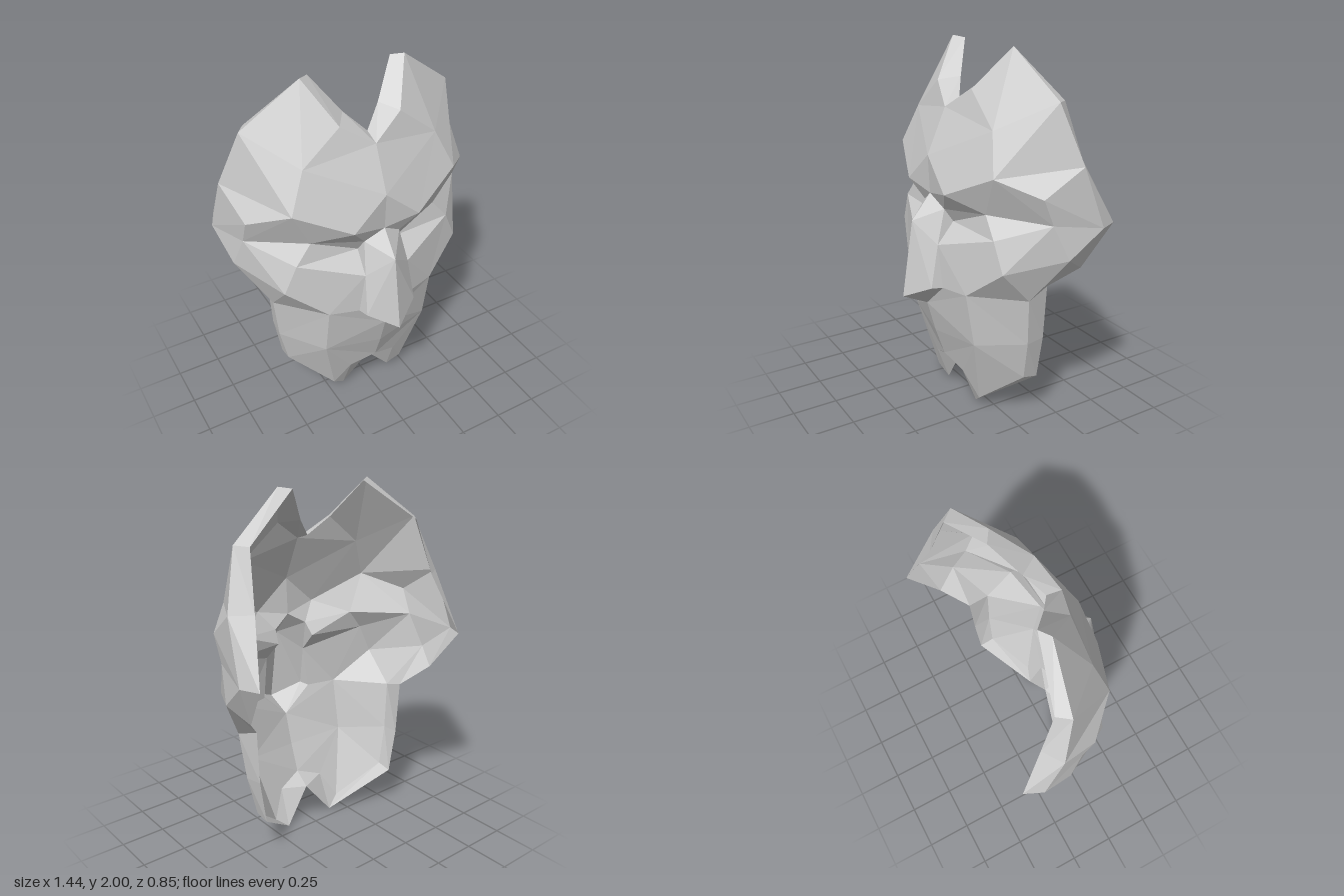
import * as THREE from 'three';

// Landmarks of the model's left half; the right half is mirrored
const forehead = {
  notch: [0, 1.68, 0.155], notchSide: [0.17, 1.79, 0.10], peak: [0.29, 2.0, -0.065],
  crown: [0.595, 1.77, -0.125], temple: [0.695, 1.47, -0.21], bump: [0.38, 1.62, 0.11],
  browMid: [0, 1.44, 0.26], browIn: [0.19, 1.275, 0.275], browOut: [0.475, 1.41, 0.165],
};
const eyes = {
  lidTop: [0.65, 1.325, -0.01], lidOut: [0.65, 1.185, -0.07], lidMid: [0.37, 1.2, 0.14],
  lidIn: [0.105, 1.17, 0.225], ear: [0.72, 1.15, -0.325],
};
const nose = {
  root: [0, 1.235, 0.25], bridge: [0, 1.1, 0.36], tip: [0, 0.68, 0.425], base: [0, 0.61, 0.28],
  side: [0.13, 0.99, 0.28], wing: [0.147, 0.76, 0.33], wingBack: [0.16, 0.755, 0.27],
};
const cheeks = {
  inner: [0.12, 1.1, 0.18], under: [0.46, 1.09, 0.15], bone: [0.53, 0.93, 0.14],
  hollow: [0.32, 0.76, 0.225], edge: [0.685, 1.0, -0.15], jawTop: [0.535, 0.755, -0.02],
};
const jaw = {
  lip: [0, 0.43, 0.23], front: [0.32, 0.46, 0.175], mid: [0.505, 0.49, -0.04],
  corner: [0.455, 0.265, -0.055], chin: [0.23, 0.065, 0.085], chinTip: [0.155, 0.005, 0.06],
  mouth: [0, 0.27, 0.175], mouthSide: [0.145, 0.215, 0.14], cleft: [0, 0.2, 0.09],
};
const P = { ...forehead, ...eyes, ...nose, ...cheeks, jawFront: jaw.front, ...jaw };

// Each row is a face (triangle or quad)
const parts = {
  forehead: [
    'notch bump notchSide', 'notchSide bump peak', 'peak bump crown', 'crown bump browOut',
    'crown browOut temple', 'temple browOut lidTop', 'notch browMid bump', 'browMid browIn bump',
    'browIn browOut bump',
  ],
  eyeSockets: [
    'browMid root browIn', 'browIn root lidIn', 'browIn lidIn lidMid', 'browIn lidMid browOut',
    'browOut lidMid lidOut', 'browOut lidOut lidTop', 'temple lidTop ear', 'lidTop lidOut ear',
    'lidOut edge ear',
  ],
  nose: [
    'root bridge lidIn', 'lidIn bridge side', 'lidIn side inner', 'bridge tip wing side',
    'side wing wingBack', 'tip base wing', 'wing base wingBack',
  ],
  cheeks: [
    'lidIn inner lidMid', 'inner under lidMid', 'lidMid under lidOut', 'lidOut under bone',
    'inner side under', 'side hollow under', 'side wingBack hollow', 'under hollow bone',
    'bone hollow jawTop', 'bone jawTop edge', 'lidOut bone edge',
  ],
  jaw: [
    'wingBack base hollow', 'base lip jawFront hollow', 'lip mouth jawFront',
    'mouth mouthSide jawFront', 'jawFront mouthSide chin', 'mouthSide chinTip chin',
    'mouthSide cleft chinTip', 'mouth cleft mouthSide', 'hollow jawFront mid jawTop',
    'jawFront corner mid', 'jawFront chin corner',
  ],
};

// Turned-back rim: outer landmark and the matching back point
const rim = [
  ['notch', [0, 1.71, 0.07]], ['notchSide', [0.10, 1.81, 0]], ['peak', [0.23, 1.99, -0.105]],
  ['crown', [0.545, 1.765, -0.19]], ['temple', [0.59, 1.47, -0.28]], ['ear', [0.675, 1.15, -0.425]],
  ['edge', [0.625, 0.92, -0.27]], ['jawTop', [0.51, 0.8, -0.15]], ['mid', [0.495, 0.5, -0.145]],
  ['corner', [0.455, 0.25, -0.14]], ['chin', [0.155, 0.005, 0.06]],
];

const material = new THREE.MeshStandardMaterial({
  color: 0xcccccc, flatShading: true, side: THREE.DoubleSide,
});

// Fan each face into triangles, then add its mirror image with reversed order
function mirroredMesh(name, faces) {
  const out = [];
  for (const f of faces) {
    for (let i = 1; i < f.length - 1; i++) {
      const tri = [f[0], f[i], f[i + 1]];
      for (const p of tri) out.push(...p);
      for (const [x, y, z] of tri.reverse()) out.push(-x, y, z);
    }
  }
  const geometry = new THREE.BufferGeometry();
  geometry.setAttribute('position', new THREE.Float32BufferAttribute(out, 3));
  geometry.computeVertexNormals();
  const mesh = new THREE.Mesh(geometry, material);
  mesh.name = name;
  return mesh;
}

export function createModel() {
  const mask = new THREE.Group();
  mask.name = 'mask';
  // jaw.front shares no name with other parts, so both keys point at it
  for (const [name, rows] of Object.entries(parts)) {
    mask.add(mirroredMesh(name, rows.map((row) => row.split(' ').map((key) => P[key]))));
  }
  const strips = rim.slice(1).map(([key, back], i) => {
    const [prevKey, prevBack] = rim[i];
    return [P[prevKey], P[key], back, prevBack];
  });
  mask.add(mirroredMesh('rim', strips));
  return mask;
}
